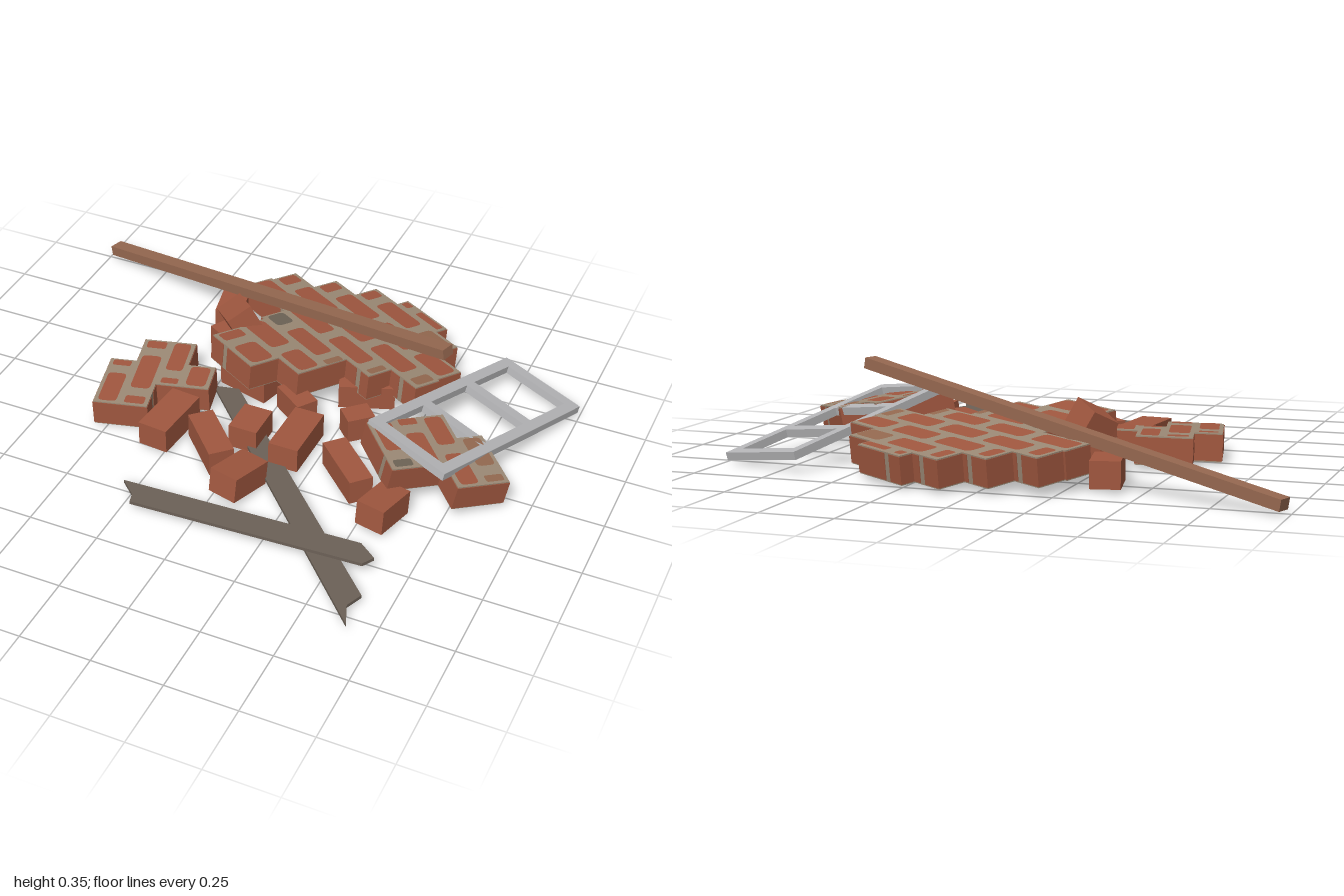
import * as THREE from 'three';

const mat = (name, color) => Object.assign(new THREE.MeshStandardMaterial({ color }), { name });
const UP = new THREE.Vector3(0, 1, 0);

export function createModel() {
  const brick = mat('red brick', 0xa0573f);
  const worn = mat('worn brown brick', 0x946950);
  const mortar = mat('mortar', 0x9c8a76);
  const stain = mat('grey stain', 0x6e6456);
  const timber = mat('timber', 0x966850);
  const board = mat('weathered board', 0x6c6157);
  const metal = mat('pale frame', 0xb6b6b8);

  const root = new THREE.Group();
  root.name = 'rubblePile';

  const add = (parent, name, geometry, material, x = 0, y = 0, z = 0) => {
    const m = new THREE.Mesh(geometry, material);
    m.name = name;
    m.position.set(x, y, z);
    parent.add(m);
    return m;
  };
  const box = (w, h, d) => new THREE.BoxGeometry(w, h, d);

  // Flat brick face with worn, clipped corners
  const facePlate = (w, d) => {
    const a = w / 2, b = d / 2, c = Math.min(a, b) * 0.5;
    const s = new THREE.Shape();
    s.moveTo(-a + c, -b);
    s.lineTo(a - c, -b).quadraticCurveTo(a, -b, a, -b + c);
    s.lineTo(a, b - c).quadraticCurveTo(a, b, a - c, b);
    s.lineTo(-a + c, b).quadraticCurveTo(-a, b, -a, b - c);
    s.lineTo(-a, -b + c).quadraticCurveTo(-a, -b, -a + c, -b);
    return new THREE.ShapeGeometry(s, 3).rotateX(-Math.PI / 2);
  };

  // Fallen piece of wall: courses are [v0, v1, u0, u1]; its top lies on a plane
  // through (x, y, z) with slopes gx and gz
  function wallPiece(name, [x, y, z], angle, gx, gz, courses, tint) {
    const g = new THREE.Group();
    g.name = name;
    const normal = new THREE.Vector3(-gx, 1, -gz).normalize();
    g.quaternion.setFromUnitVectors(UP, normal)
      .multiply(new THREE.Quaternion().setFromAxisAngle(UP, -THREE.MathUtils.degToRad(angle)));
    g.position.set(x, y, z);
    const H = 0.098, L = 0.235;
    courses.forEach(([v0, v1, u0, u1], row) => {
      const d = v1 - v0, vm = (v0 + v1) / 2;
      add(g, 'mortarCourse', box(u1 - u0, H, d), mortar, (u0 + u1) / 2, -H / 2, vm);
      const shift = row % 2 ? L / 2 : 0;
      for (let k = -4; k < 4; k++) {
        const a = Math.max(u0 - 0.002, k * L + shift + 0.012);
        const b = Math.min(u1 + 0.002, (k + 1) * L + shift - 0.012);
        if (b - a < 0.03) continue;
        const um = (a + b) / 2;
        add(g, 'wallBrick', box(b - a, H - 0.008, d + 0.004), brick, um, -H / 2, vm);
        const w = Math.max(0.03, b - a - 0.022), t = Math.max(0.03, d - 0.028);
        const face = tint(row, um, k);
        add(g, 'brickFace', facePlate(w, t), face, um, 0.002, vm);
        add(g, 'brickUnderside', facePlate(w, t).rotateX(Math.PI), face, um, -H - 0.002, vm);
      }
    });
    root.add(g);
  }

  wallPiece('largeWallPiece', [0.11, 0.152, -0.45], 31, -0.03, 0.115, [
    [-0.37, -0.32, -0.07, 0.16],
    [-0.32, -0.22, -0.2, 0.28],
    [-0.22, -0.115, -0.32, 0.42],
    [-0.115, -0.01, -0.44, 0.43],
    [-0.01, 0.09, -0.45, 0.29],
    [0.09, 0.19, -0.225, 0.16],
    [0.19, 0.3, -0.21, 0.16],
    [0.3, 0.42, -0.2, 0.04],
  ], (row, u, k) => (row === 5 && u < -0.1 ? stain : u > 0.12 && (row + k) % 3 ? worn : brick));

  wallPiece('leftWallPiece', [-0.45, 0.105, 0], 77, 0.02, -0.03, [
    [0.05, 0.145, -0.06, 0.19],
    [-0.05, 0.05, -0.19, 0.19],
    [-0.14, -0.05, -0.19, 0.06],
    [-0.24, -0.14, -0.065, 0.06],
  ], () => brick);

  wallPiece('rightWallPiece', [0.67, 0.16, 0.05], 46, -0.18, 0.03, [
    [0.095, 0.19, -0.17, 0.065],
    [0, 0.095, -0.17, 0.065],
    [-0.095, 0, -0.17, 0.18],
    [-0.19, -0.095, -0.05, 0.18],
  ], (row, u) => (row === 0 && u > 0 ? stain : row === 3 ? worn : brick));

  // Loose bricks: x, y, z, length, width, heading, tilt about x, tilt about z
  [
    [-0.28, 0.055, 0.155, 0.225, 0.11, 95, 0, 0],
    [-0.095, 0.055, 0.205, 0.23, 0.09, 46, 0, 0],
    [0.07, 0.06, 0.335, 0.17, 0.11, 104, 0, 0.15],
    [-0.005, 0.05, 0.075, 0.135, 0.105, 90, 0, 0],
    [0.168, 0.06, 0.075, 0.23, 0.108, 90, 0, 0.03],
    [0.09, 0.06, -0.11, 0.14, 0.08, 35, 0, 0],
    [0.32, 0.05, -0.11, 0.1, 0.08, -43, 0, 0],
    [0.39, 0.055, 0.15, 0.23, 0.085, 44, 0, 0],
    [0.57, 0.058, 0.28, 0.16, 0.105, 102, 0, 0.1],
    [-0.365, 0.055, -0.55, 0.17, 0.1, 78, 0, 0],
    [-0.25, 0.175, -0.36, 0.14, 0.1, 42, 0.45, 0.25],
    [-0.25, 0.06, -0.35, 0.2, 0.11, 30, 0, 0],
    [-0.13, 0.05, -0.2, 0.2, 0.1, 15, 0, 0],
    [0.28, 0.05, -0.3, 0.2, 0.1, -20, 0, 0],
  ].forEach(([x, y, z, l, w, a, rx, rz]) => {
    const m = add(root, 'looseBrick', box(l, 0.09, w), brick, x, y, z);
    m.rotation.set(rx, -THREE.MathUtils.degToRad(a), rz, 'YXZ');
  });

  // Long beam leaning over the large wall piece
  const p = new THREE.Vector3(-0.983, 0.03, -0.772), q = new THREE.Vector3(0.58, 0.326, -0.272);
  const along = q.clone().sub(p);
  const beam = add(root, 'beam', box(along.length(), 0.038, 0.052), timber);
  beam.position.copy(p).add(q).multiplyScalar(0.5);
  const bx = along.clone().normalize(), bz = bx.clone().cross(UP).normalize();
  beam.quaternion.setFromRotationMatrix(new THREE.Matrix4().makeBasis(bx, bz.clone().cross(bx), bz));

  // Splintered boards: outlines in x, z
  const boardShape = (pts) => {
    const s = new THREE.Shape(pts.map(([x, z]) => new THREE.Vector2(x, -z)));
    return new THREE.ExtrudeGeometry(s, { depth: 0.012, bevelEnabled: false }).rotateX(-Math.PI / 2);
  };
  add(root, 'lowerBoard', boardShape([
    [-0.24, -0.12], [-0.15, -0.14], [0.655, 0.67], [0.63, 0.73], [0.66, 0.81],
  ]), board, 0, 0.016, 0);
  add(root, 'upperBoard', boardShape([
    [-0.29, 0.48], [0.57, 0.465], [0.635, 0.515], [0.61, 0.555], [-0.22, 0.572], [-0.23, 0.535],
  ]), board, 0, 0.022, 0).rotation.z = 0.026;

  // Window frame with two crossbars, lying on the right wall piece
  const W = 0.34, D = 0.78, rim = 0.042;
  const rect = (T, x0, y0, x1, y1) => new T([[x0, y0], [x1, y0], [x1, y1], [x0, y1]]
    .map(([x, y]) => new THREE.Vector2(x, y)));
  const outline = rect(THREE.Shape, -W / 2, -D / 2, W / 2, D / 2);
  const pane = (D - 4 * rim) / 3;
  for (let i = 0; i < 3; i++) {
    const y = -D / 2 + rim + i * (pane + rim);
    outline.holes.push(rect(THREE.Path, -W / 2 + rim, y, W / 2 - rim, y + pane));
  }
  const frame = add(root, 'windowFrame', new THREE.ExtrudeGeometry(outline, { depth: 0.028, bevelEnabled: false })
    .rotateX(-Math.PI / 2).translate(0, -0.014, 0), metal, 0.708, 0.113, -0.24);
  const fx = new THREE.Vector3(0.32, -0.04, 0.12).normalize();
  const fy = new THREE.Vector3(-0.26, 0.15, 0.72).cross(fx).normalize();
  frame.quaternion.setFromRotationMatrix(new THREE.Matrix4().makeBasis(fx, fy, fx.clone().cross(fy)));

  return root;
}
